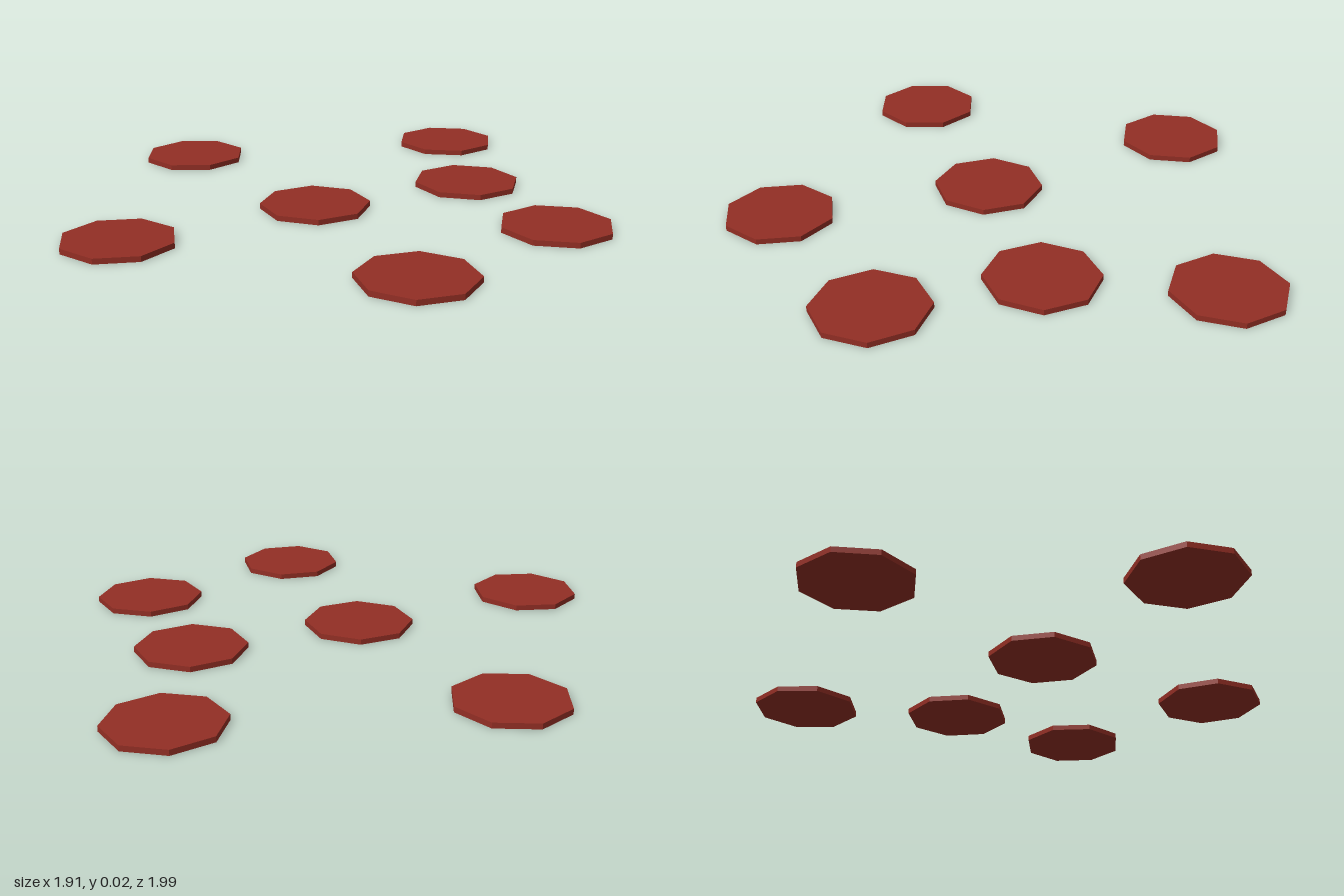
import * as THREE from 'three';

export function createModel() {
  const group = new THREE.Group();
  const red = new THREE.MeshStandardMaterial({ color: 0x922e24, flatShading: true });
  red.name = 'dark red';

  // Thin eight-sided slice shared by every piece
  const height = 0.02;
  const slice = new THREE.CylinderGeometry(0.204, 0.204, height, 8);

  // x, z and turn in degrees of each slice
  const places = [
    [-0.545, -0.657, 18.9],
    [0.553, -0.8, 10.6],
    [0.532, -0.186, 4.5],
    [-0.078, 0.052, 0],
    [-0.765, 0.385, -18.2],
    [0.75, 0.353, 7.8],
    [0.196, 0.79, -9.7],
  ];
  places.forEach(([x, z, turn], i) => {
    const mesh = new THREE.Mesh(slice, red);
    mesh.name = `slice${i + 1}`;
    mesh.position.set(x, height / 2, z);
    mesh.rotation.y = THREE.MathUtils.degToRad(turn);
    group.add(mesh);
  });
  return group;
}
